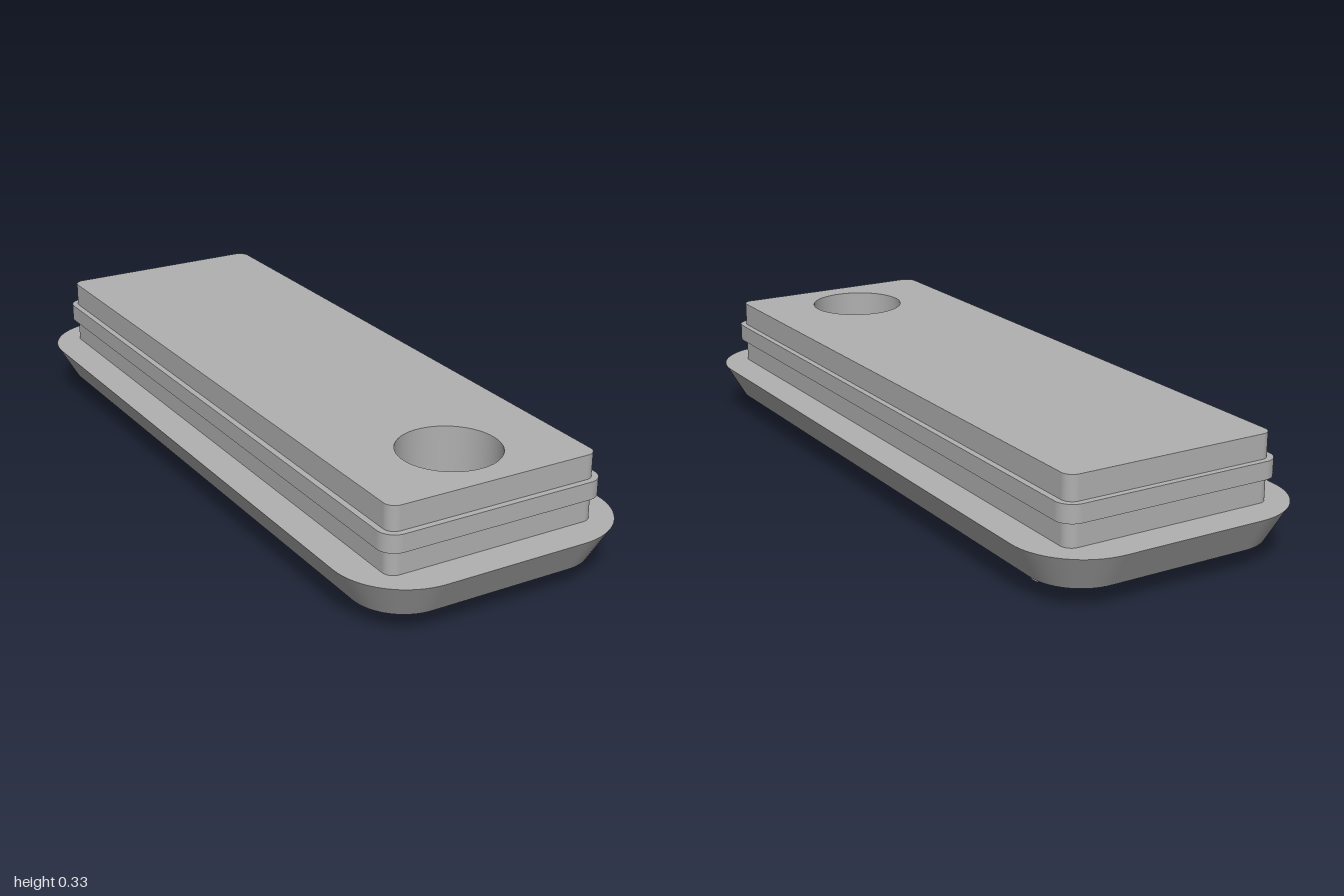
import * as THREE from 'three';
import { mergeGeometries } from 'three/addons/utils/BufferGeometryUtils.js';

// Rounded rectangle as points [x, z, normalX, normalZ]
function roundedRect(hx, hz, r, steps = 16) {
  const pts = [];
  [[1, 1], [-1, 1], [-1, -1], [1, -1]].forEach(([sx, sz], q) => {
    for (let i = 0; i <= steps; i++) {
      const a = (q + i / steps) * Math.PI / 2, c = Math.cos(a), s = Math.sin(a);
      pts.push([sx * (hx - r) + r * c, sz * (hz - r) + r * s, c, s]);
    }
  });
  return pts;
}

function circle(cz, r, n = 64) {
  return Array.from({ length: n }, (_, i) => {
    const a = i / n * Math.PI * 2, c = Math.cos(a), s = Math.sin(a);
    return [r * c, cz + r * s, c, s];
  });
}

// Smooth wall between a lower and an upper outline; inward turns it to face a hole
function wall(low, y0, high, y1, inward = false) {
  const pos = [], nor = [], uv = [], index = [], n = low.length, sign = inward ? -1 : 1;
  for (let i = 0; i <= n; i++) {
    const b = low[i % n], t = high[i % n];
    const flare = (t[0] - b[0]) * b[2] + (t[1] - b[1]) * b[3];
    const normal = new THREE.Vector3(b[2], -flare / (y1 - y0), b[3]).normalize().multiplyScalar(sign);
    pos.push(b[0], y0, b[1], t[0], y1, t[1]);
    nor.push(...normal.toArray(), ...normal.toArray());
    uv.push(i / n, 0, i / n, 1);
    if (i < n) {
      const k = i * 2;
      if (inward) index.push(k, k + 2, k + 1, k + 1, k + 2, k + 3);
      else index.push(k, k + 1, k + 2, k + 1, k + 3, k + 2);
    }
  }
  const g = new THREE.BufferGeometry();
  g.setAttribute('position', new THREE.Float32BufferAttribute(pos, 3));
  g.setAttribute('normal', new THREE.Float32BufferAttribute(nor, 3));
  g.setAttribute('uv', new THREE.Float32BufferAttribute(uv, 2));
  g.setIndex(index);
  return g;
}

// Flat face at height y with an opening, facing up or down
function cap(y, up, outer, inner) {
  const flat = (pts) => pts.map(([x, z]) => new THREE.Vector2(x, up ? -z : z));
  const shape = new THREE.Shape(flat(outer));
  shape.holes.push(new THREE.Path(flat(inner)));
  return new THREE.ShapeGeometry(shape).rotateX(up ? -Math.PI / 2 : Math.PI / 2).translate(0, y, 0);
}

export function createModel() {
  const group = new THREE.Group();
  const grey = new THREE.MeshStandardMaterial({ color: 0xb0b0b0 });
  grey.name = 'grey';
  const add = (name, ...parts) => {
    const mesh = new THREE.Mesh(parts.length > 1 ? mergeGeometries(parts) : parts[0], grey);
    mesh.name = name;
    group.add(mesh);
    return mesh;
  };

  const base = 0.057, rim = 0.153, top = 0.333, ringLow = 0.219, ringHigh = 0.267;
  const hole = circle(0.707, 0.134);
  const flangeLow = roundedRect(0.335, 0.945, 0.135);
  const flangeHigh = roundedRect(0.39, 1, 0.19);
  const plug = roundedRect(0.299, 0.908, 0.03);
  const ring = roundedRect(0.316, 0.925, 0.047);

  // Flared flange
  add('flange', wall(flangeLow, base, flangeHigh, rim),
    cap(base, false, flangeLow, hole), cap(rim, true, flangeHigh, plug));

  // Upright plug with its sealing rib
  add('plug', wall(plug, rim, plug, top), cap(top, true, plug, hole));
  add('sealingRib', wall(ring, ringLow, ring, ringHigh),
    cap(ringLow, false, ring, plug), cap(ringHigh, true, ring, plug));

  // Round hole through the whole body
  add('throughHole', wall(hole, base, hole, top, true));

  // Rounded grip bar under the back end, its upper part sunk in the flange
  const bar = add('gripBar', new THREE.CylinderGeometry(0.0725, 0.0725, 0.536, 48).rotateZ(Math.PI / 2));
  bar.position.set(0, 0.0725, -0.722);

  return group;
}
